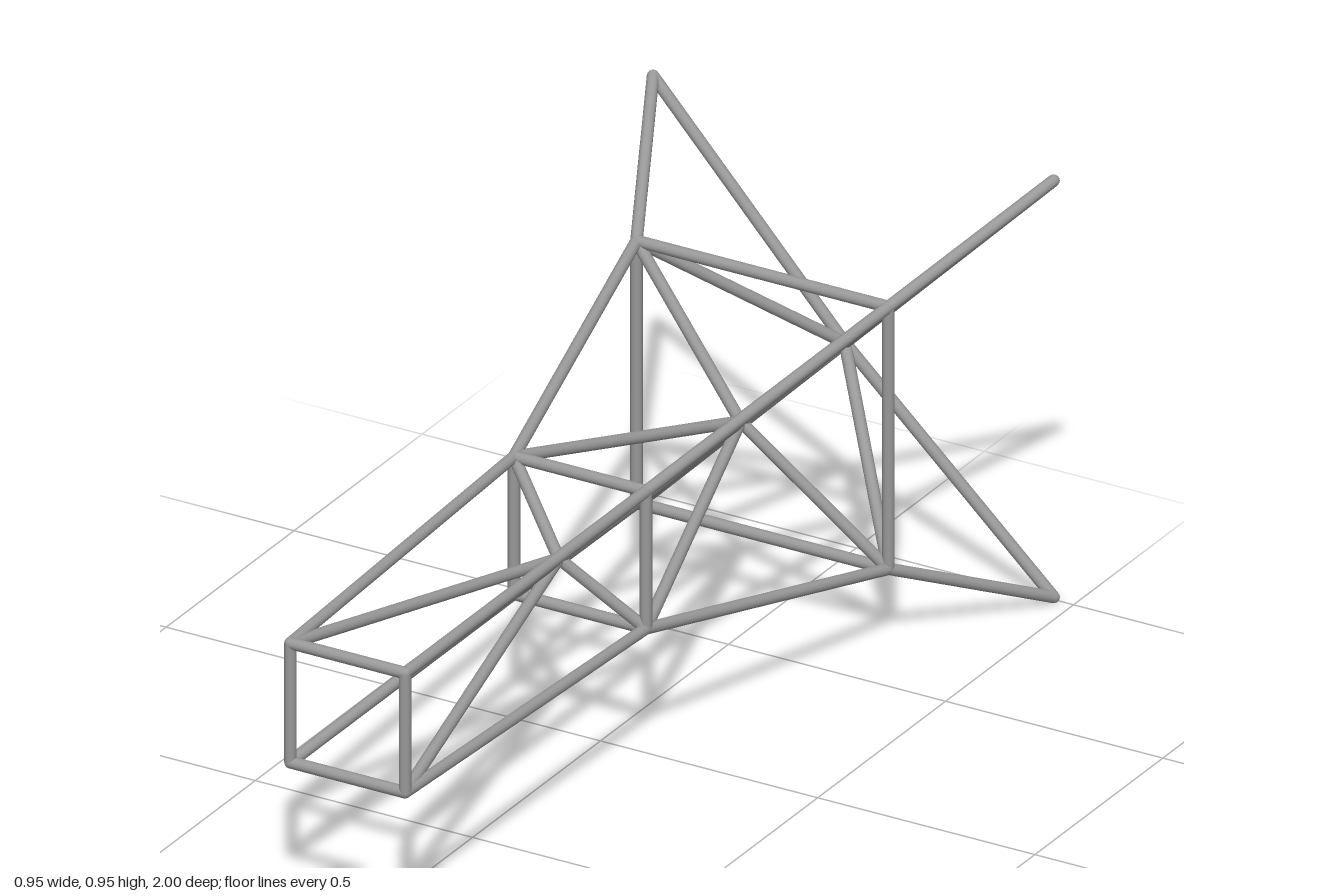
import * as THREE from 'three';

const RADIUS = 0.0125;
const CENTRE_Y = 0.4725;

export function createModel() {
  const model = new THREE.Group();
  model.name = 'trussFrame';
  const metal = new THREE.MeshStandardMaterial({ color: 0x999999 });
  metal.name = 'grey metal';

  const up = new THREE.Vector3(0, 1, 0);
  const jointGeometry = new THREE.SphereGeometry(RADIUS, 12, 8);

  // Round bar between two points
  function bar(name, a, b) {
    const dir = b.clone().sub(a);
    const mesh = new THREE.Mesh(new THREE.CylinderGeometry(RADIUS, RADIUS, dir.length(), 12), metal);
    mesh.position.copy(a).add(b).multiplyScalar(0.5);
    mesh.quaternion.setFromUnitVectors(up, dir.normalize());
    mesh.name = name;
    model.add(mesh);
  }

  // Rounded joint where bars meet
  function joint(name, p) {
    const mesh = new THREE.Mesh(jointGeometry, metal);
    mesh.position.copy(p);
    mesh.name = name;
    model.add(mesh);
  }

  // Four corners of a square station
  const corners = (half, z) => [[1, 1], [-1, 1], [-1, -1], [1, -1]]
    .map(([x, y]) => new THREE.Vector3(x * half, CENTRE_Y + y * half, z));

  const stations = [
    { name: 'front', points: corners(0.132, 0.9875), closed: true },
    { name: 'middle', points: corners(0.152, 0.08), closed: true },
    { name: 'rear', points: corners(0.29, -0.633), closed: true },
    { name: 'tip', points: corners(0.461, -0.988), closed: false },
  ];
  const hubZ = [0.163, -0.547, -0.955];

  // Square frames and corner joints
  for (const { name, points, closed } of stations) {
    points.forEach((p, i) => {
      joint(name + 'Joint', p);
      if (closed) bar(name + 'FrameBar', p, points[(i + 1) % 4]);
    });
  }

  // Long rails, and braces from each central hub to the stations either side
  hubZ.forEach((z, s) => {
    const hub = new THREE.Vector3(0, CENTRE_Y, z);
    joint('hubJoint', hub);
    for (let i = 0; i < 4; i++) {
      const a = stations[s].points[i];
      const b = stations[s + 1].points[i];
      bar('cornerRail', a, b);
      bar('forwardBrace', a, hub);
      bar('rearwardBrace', hub, b);
    }
  });

  return model;
}
